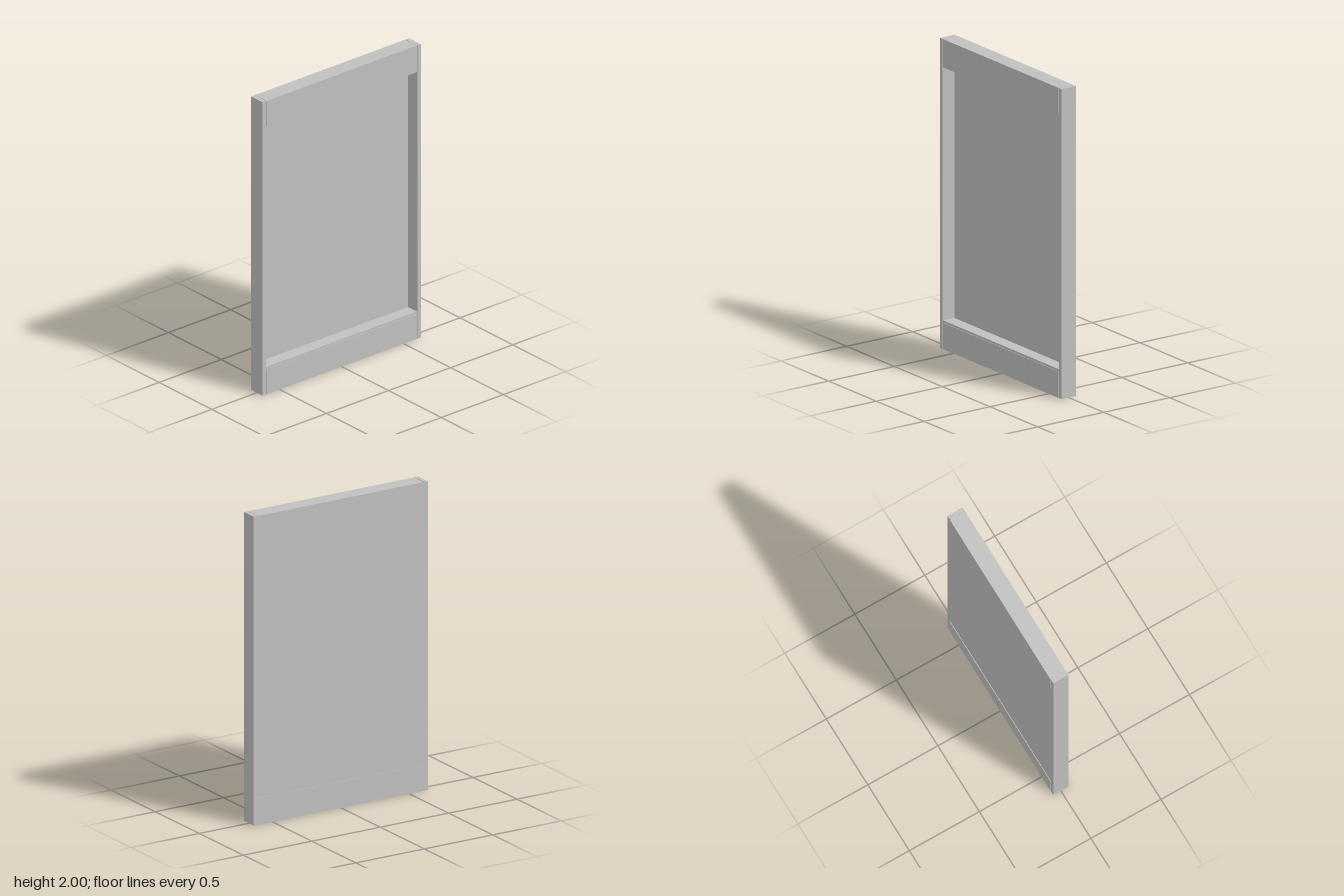
import * as THREE from 'three';

export function createModel() {
  const group = new THREE.Group();
  const grey = new THREE.MeshStandardMaterial({ color: 0xc0c0c0 });
  grey.name = 'light grey';

  // Box given by its minimum and maximum corners
  const box = (name, [x0, y0, z0], [x1, y1, z1]) => {
    const mesh = new THREE.Mesh(new THREE.BoxGeometry(x1 - x0, y1 - y0, z1 - z0), grey);
    mesh.position.set((x0 + x1) / 2, (y0 + y1) / 2, (z0 + z1) / 2);
    mesh.name = name;
    group.add(mesh);
  };

  // Recessed back panel, closing the tray from behind
  box('backPanel', [-0.609, 0.184, -0.051], [0.609, 1.816, -0.034]);

  // Upright stiles at both sides
  box('leftStile', [0.609, 0, -0.053], [0.637, 2, 0.055]);
  box('rightStile', [-0.637, 0, -0.053], [-0.609, 2, 0.055]);

  // Rails: an inner core forming a narrow lip, wrapped by a slightly deeper cover
  box('bottomRailLip', [-0.609, 0.002, -0.051], [0.609, 0.184, 0.051]);
  box('topRailLip', [-0.609, 1.816, -0.051], [0.609, 1.998, 0.051]);
  box('bottomRailCover', [-0.605, 0, -0.055], [0.605, 0.17, 0.055]);
  box('topRailCover', [-0.605, 1.83, -0.055], [0.605, 2, 0.055]);

  return group;
}
